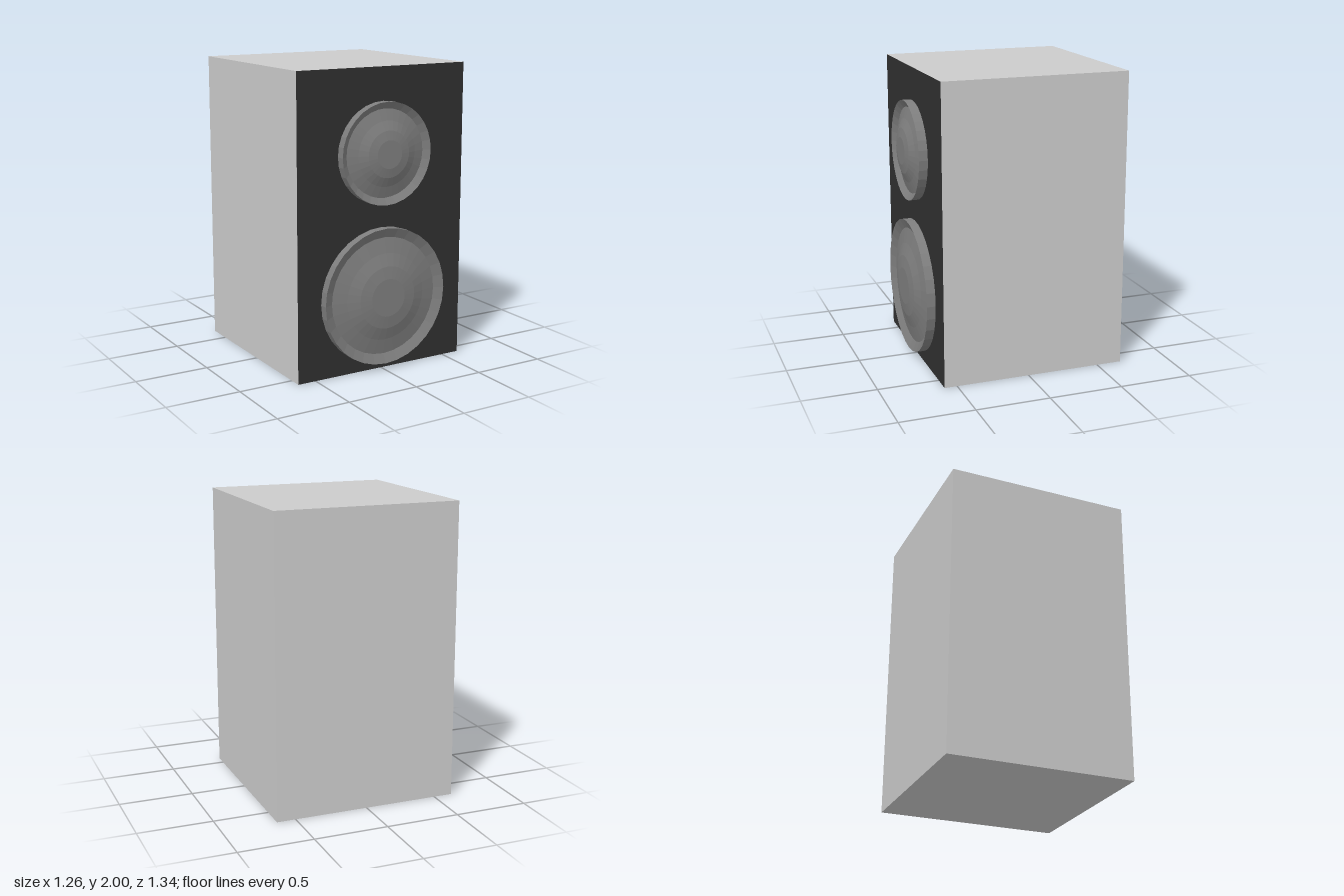
import * as THREE from 'three';

const FRONT = 0.585;
const BACK = -0.672;
const WIDTH = 1.256;

function mesh(name, geometry, color) {
  const material = new THREE.MeshStandardMaterial({ color, flatShading: true });
  const m = new THREE.Mesh(geometry, material);
  m.name = name;
  return m;
}

// Revolve [radius, height] points around the forward axis
function turned(points) {
  const profile = points.map(([r, h]) => new THREE.Vector2(r, h));
  return new THREE.LatheGeometry(profile, 32).rotateX(Math.PI / 2);
}

// One driver: a raised ring with an inward slope around a shallow dome
function createDriver(name, y, outer, inner) {
  const driver = new THREE.Group();
  driver.name = name;

  const rim = mesh('rim', turned([[outer, 0], [outer, 0.06], [inner, 0.03]]), 0x7e7e7e);
  const dome = mesh('dome', turned([
    [inner, 0.03],
    [inner * 0.74, 0.051],
    [inner * 0.53, 0.076],
    [inner * 0.32, 0.087],
    [0, 0.087],
  ]), 0x7e7e7e);

  driver.add(rim, dome);
  driver.position.set(0, y, FRONT);
  return driver;
}

export function createModel() {
  const model = new THREE.Group();
  model.name = 'loudspeaker';

  // Cabinet
  const cabinet = mesh('cabinet', new THREE.BoxGeometry(WIDTH, 2, FRONT - BACK), 0xcccccc);
  cabinet.position.set(0, 1, (FRONT + BACK) / 2);

  // Dark front face
  const baffle = mesh('frontPanel', new THREE.PlaneGeometry(WIDTH, 2), 0x303030);
  baffle.position.set(0, 1, FRONT + 0.001);

  model.add(
    cabinet,
    baffle,
    createDriver('upperDriver', 1.448, 0.334, 0.289),
    createDriver('lowerDriver', 0.503, 0.458, 0.395),
  );
  return model;
}
